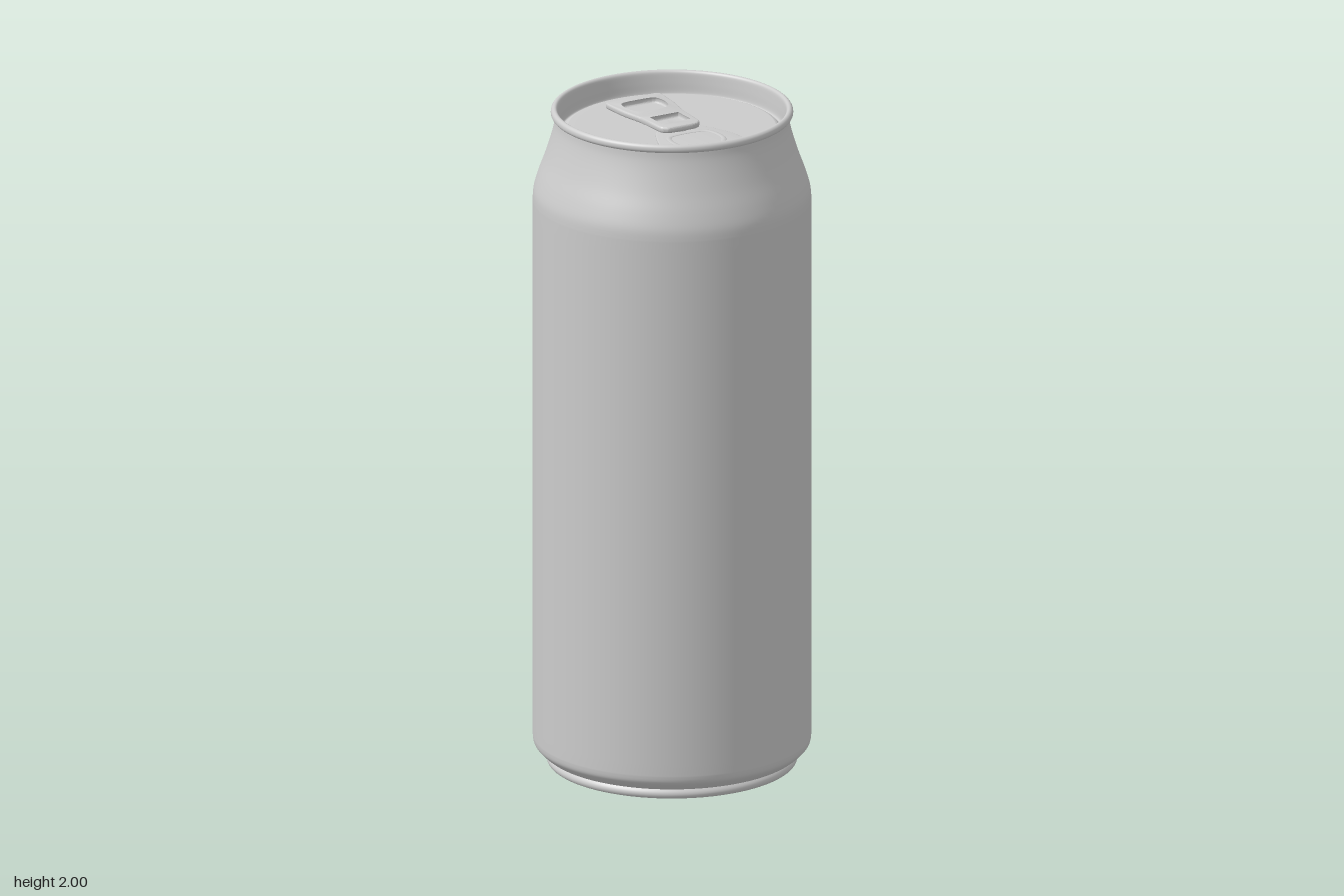
import * as THREE from 'three';
import { toCreasedNormals } from 'three/addons/utils/BufferGeometryUtils.js';

const SEGMENTS = 96;
const LID_Y = 1.94;
const TAB_X = -0.004;
const material = new THREE.MeshStandardMaterial({ color: 0xcccccc, side: THREE.DoubleSide });

const v2 = (p) => p.map(([x, y]) => new THREE.Vector2(x, y));
const curve = (p, n) => new THREE.SplineCurve(v2(p)).getPoints(n);

function add(group, name, geometry, x = 0, y = 0, z = 0) {
  const mesh = new THREE.Mesh(geometry, material);
  mesh.name = name;
  mesh.position.set(x, y, z);
  group.add(mesh);
  return mesh;
}

const lathe = (points) => new THREE.LatheGeometry(points, SEGMENTS);

// Rounded polygon from corners given as [x, z]; the path's y is -z
function rounded(corners, radius, Type = THREE.Shape) {
  const path = new Type();
  const pts = corners.map(([x, z]) => new THREE.Vector2(x, -z));
  const n = pts.length;
  pts.forEach((p, i) => {
    const toward = (q) => {
      const d = q.clone().sub(p);
      return p.clone().add(d.setLength(Math.min(radius, d.length() * 0.5)));
    };
    const a = toward(pts[(i + n - 1) % n]);
    const b = toward(pts[(i + 1) % n]);
    if (i === 0) path.moveTo(a.x, a.y);
    else path.lineTo(a.x, a.y);
    path.quadraticCurveTo(p.x, p.y, b.x, b.y);
  });
  path.closePath();
  return path;
}

// Flat plate with softened edges, lying in the xz plane
function plate(shape, height, bevel) {
  const geometry = new THREE.ExtrudeGeometry(shape, {
    depth: height - 2 * bevel, bevelThickness: bevel, bevelSize: bevel,
    bevelOffset: -bevel, bevelSegments: 3, curveSegments: 10,
  });
  geometry.translate(0, 0, bevel);
  geometry.rotateX(-Math.PI / 2);
  return toCreasedNormals(geometry, 0.7);
}

// Mirror a half outline of [x, z] points to the other side
const mirrored = (half) => [...half, ...half.slice().reverse().map(([x, z]) => [-x, z])];

export function createModel() {
  const can = new THREE.Group();
  can.name = 'can';

  // Domed underside and standing ring
  add(can, 'base', lathe([
    ...curve([[0, 0.12], [0.1, 0.113], [0.2, 0.092], [0.28, 0.06], [0.325, 0.03]], 20),
    ...curve([[0.337, 0.012], [0.344, 0.002], [0.352, 0], [0.361, 0.004], [0.365, 0.013],
      [0.363, 0.022], [0.357, 0.03]], 18),
  ]));

  // Side wall with tapered foot and necked shoulder
  add(can, 'body', lathe([
    ...curve([[0.357, 0.03], [0.372, 0.035], [0.392, 0.052], [0.402, 0.066], [0.405, 0.085]], 14),
    ...v2([[0.405, 0.12], [0.405, 0.6], [0.405, 1.2], [0.405, 1.68]]),
    ...curve([[0.405, 1.72], [0.402, 1.755], [0.389, 1.8], [0.369, 1.855], [0.352, 1.91],
      [0.342, 1.95], [0.339, 1.975]], 28),
  ]));

  // Rolled rim
  add(can, 'rim', lathe(curve([[0.339, 1.975], [0.347, 1.976], [0.352, 1.983], [0.351, 1.993],
    [0.345, 1.999], [0.338, 1.999], [0.333, 1.993], [0.331, 1.98]], 24)));

  // Sunken lid with a groove around its panel
  add(can, 'lid', lathe([
    ...curve([[0.331, 1.98], [0.329, 1.96], [0.327, 1.936], [0.323, 1.928], [0.317, 1.929],
      [0.311, 1.936], [0.302, LID_Y]], 24),
    ...v2([[0.28, LID_Y], [0, LID_Y]]),
  ]));

  // Teardrop opening panel
  const mouth = new THREE.Shape(new THREE.SplineCurve(v2([
    [0, 0], [0.06, -0.025], [0.1, -0.09], [0.126, -0.175], [0.108, -0.24], [0.06, -0.281],
    [0, -0.293], [-0.06, -0.281], [-0.108, -0.24], [-0.126, -0.175], [-0.1, -0.09],
    [-0.06, -0.025], [0, 0],
  ])).getPoints(72));
  add(can, 'openingPanel', plate(mouth, 0.008, 0.003), TAB_X, LID_Y - 0.002);

  // Pressed bead inside the opening panel
  const bead = new THREE.CatmullRomCurve3(mirrored([
    [0.035, 0.087], [0.064, 0.098], [0.077, 0.14], [0.07, 0.185], [0.035, 0.218],
  ]).map(([x, z]) => new THREE.Vector3(x, 0, z)), true);
  const beadMesh = add(can, 'openingBead', new THREE.TubeGeometry(bead, 72, 0.009, 8, true),
    TAB_X, LID_Y + 0.005);
  beadMesh.scale.y = 0.4;

  // Rivet that holds the tab
  add(can, 'rivet', lathe(curve([[0.034, 0], [0.033, 0.008], [0.028, 0.012], [0.014, 0.013],
    [0, 0.013]], 14)), TAB_X, LID_Y, 0.035);

  // Pull tab with finger hole and a second hole around the rivet tongue
  const tab = rounded(mirrored([
    [0.094, -0.227], [0.087, -0.125], [0.072, -0.05], [0.066, 0.058], [0.045, 0.073],
  ]), 0.02);
  tab.holes.push(rounded(mirrored([
    [0.05, -0.2], [0.07, -0.18], [0.069, -0.12], [0.048, -0.09],
  ]), 0.03, THREE.Path));
  tab.holes.push(rounded(mirrored([
    [0.052, -0.045], [0.054, 0.035], [0.017, 0.035], [0.016, 0.012],
  ]), 0.008, THREE.Path));
  add(can, 'pullTab', plate(tab, 0.018, 0.005), TAB_X, LID_Y + 0.008);

  return can;
}
